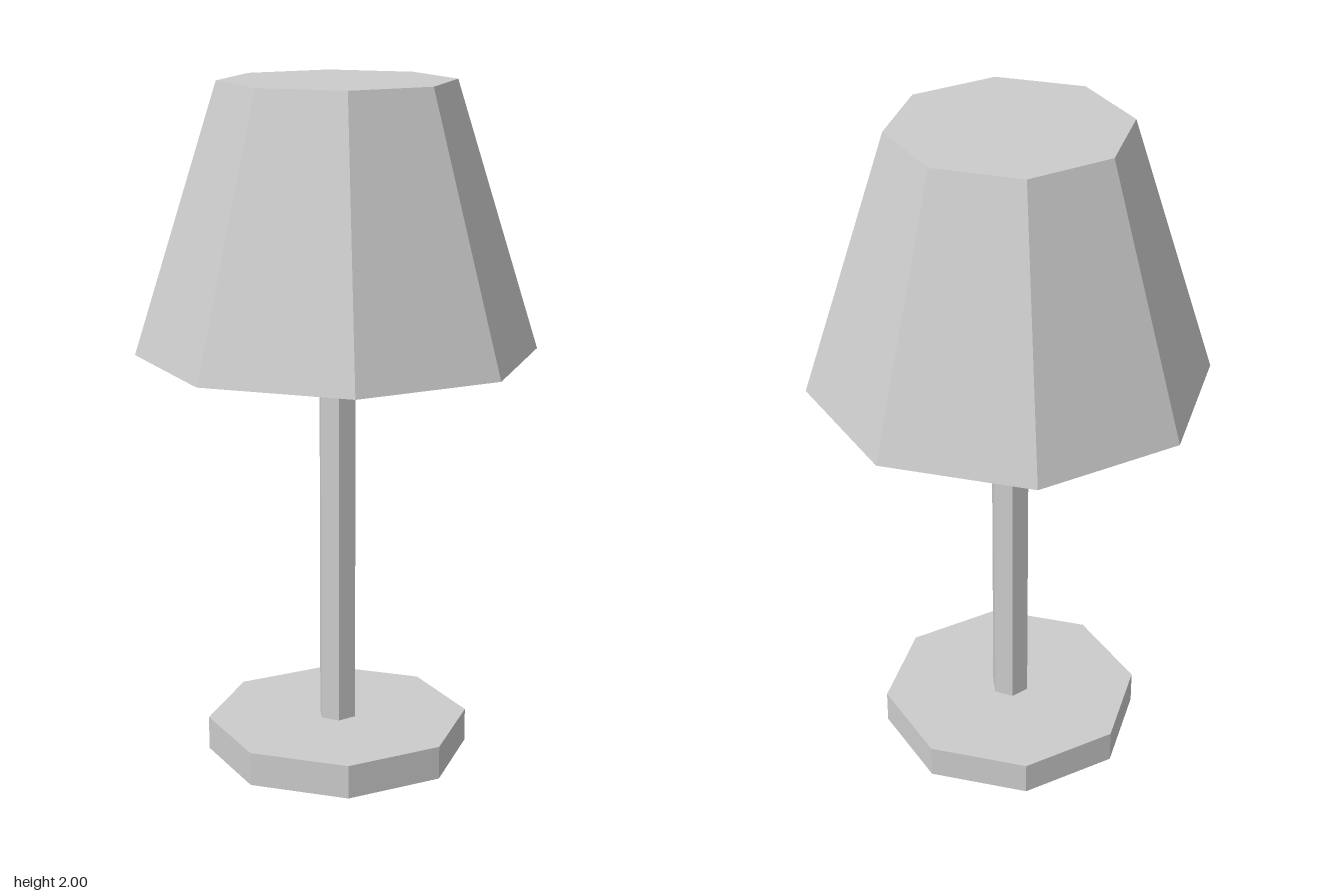
import * as THREE from 'three';

export function createModel() {
  const lamp = new THREE.Group();
  lamp.name = 'tableLamp';

  const lightGrey = new THREE.MeshStandardMaterial({ color: 0xcccccc });
  lightGrey.name = 'lightGrey';

  // Low-poly closed prism or frustum between two heights, with a corner facing +z
  function addPrism(name, topRadius, bottomRadius, y0, y1, sides) {
    const geometry = new THREE.CylinderGeometry(topRadius, bottomRadius, y1 - y0, sides)
      .toNonIndexed();
    geometry.computeVertexNormals(); // faceted sides
    const mesh = new THREE.Mesh(geometry, lightGrey);
    mesh.name = name;
    mesh.position.y = (y0 + y1) / 2;
    lamp.add(mesh);
  }

  addPrism('base', 0.389, 0.389, 0, 0.1, 8);
  addPrism('pole', 0.058, 0.058, 0.1, 1.222, 6);
  addPrism('shade', 0.34, 0.583, 1.222, 2, 8);

  return lamp;
}
